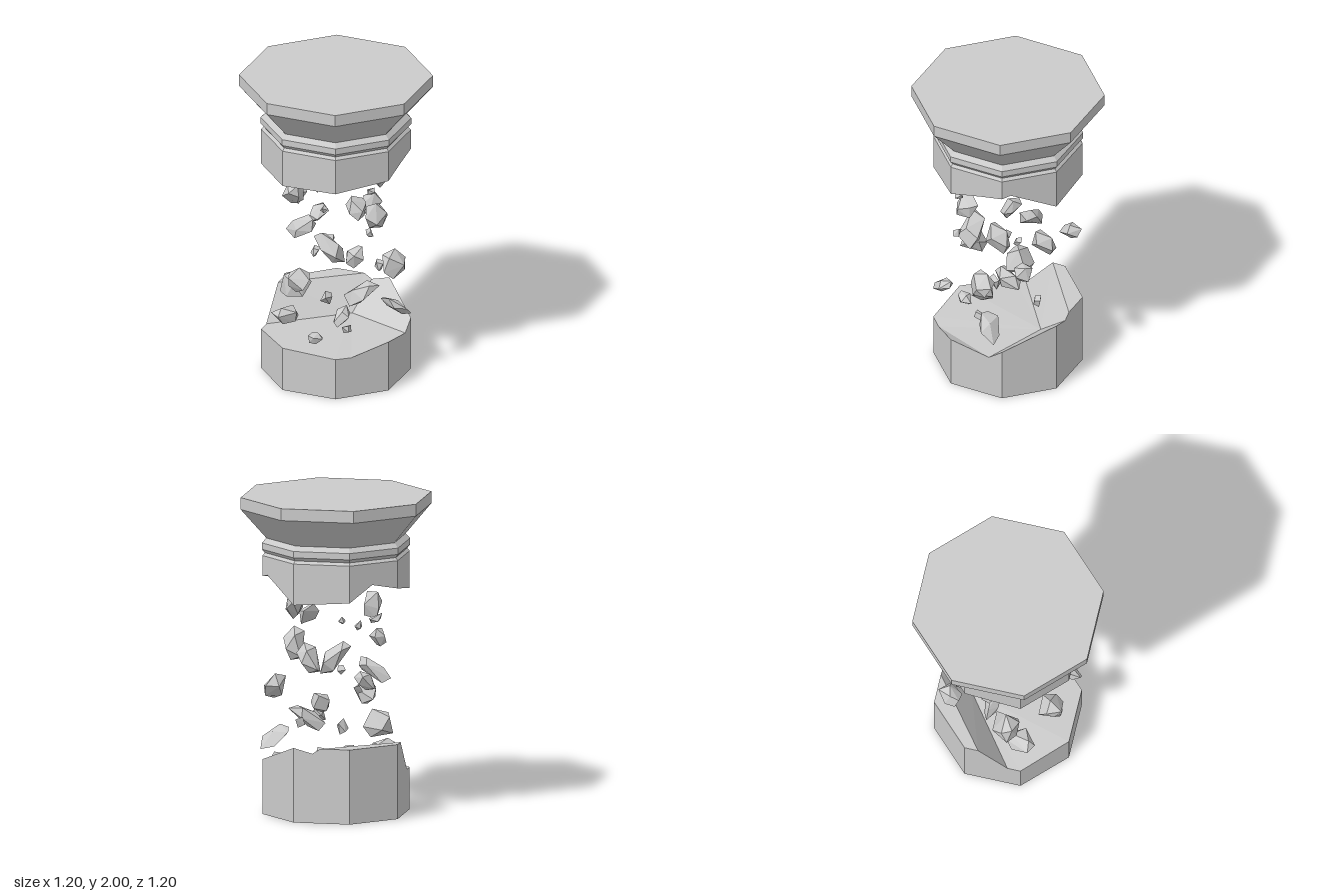
import * as THREE from 'three';
import { ConvexGeometry } from 'three/addons/geometries/ConvexGeometry.js';

// Double-sided because the stumps are open shells
const mat = new THREE.MeshStandardMaterial({ color: 0xcccccc, flatShading: true, side: THREE.DoubleSide });
const SHAFT_R = 0.465;

// Point on the octagonal shaft wall at an angle (degrees from +z towards +x)
function onShaft(deg, y) {
  const a = THREE.MathUtils.degToRad(deg);
  const off = THREE.MathUtils.degToRad((deg % 45) - 22.5);
  const r = SHAFT_R * Math.cos(Math.PI / 8) / Math.cos(off);
  return [r * Math.sin(a), y, r * Math.cos(a)];
}

// Shaft stump: walls between a flat ring and a jagged rim, plus the break faces.
// The inner point of the break follows the rim points in the index order.
function brokenShaft(rim, inner, level, faces, facesUp) {
  const jag = rim.map(([d, y]) => onShaft(d, y));
  const flat = rim.map(([d]) => onShaft(d, level));
  const corners = [...jag, inner];
  const pos = [];
  const tri = (a, b, c) => pos.push(...a, ...b, ...c);
  const [low, high] = facesUp ? [flat, jag] : [jag, flat];
  rim.forEach((_, i) => {
    const j = (i + 1) % rim.length;
    tri(low[i], low[j], high[j]);
    tri(low[i], high[j], high[i]);
  });
  for (const f of faces) {
    for (let k = 1; k < f.length - 1; k++) {
      const [a, b, c] = [corners[f[0]], corners[f[k]], corners[f[k + 1]]];
      if (facesUp) tri(a, b, c); else tri(a, c, b);
    }
  }
  const g = new THREE.BufferGeometry();
  g.setAttribute('position', new THREE.Float32BufferAttribute(pos, 3));
  g.computeVertexNormals();
  return g;
}

// Faceted rock, leaning along x and z, fitted exactly into a box of the given size
function rockGeometry(size, leanX, leanZ, seed) {
  let s = Math.round(seed) * 7919 + 17;
  const rnd = () => (s = (s * 16807) % 2147483647) / 2147483647;
  for (let i = 0; i < 5; i++) rnd();
  const n = Math.min(...size) < 0.08 ? 7 : 10;
  const turn = rnd() * 6.28;
  const tilt = new THREE.Euler(rnd() * 6, rnd() * 6, rnd() * 6);
  const pts = [];
  for (let i = 0; i < n; i++) {
    const y = 1 - (2 * i + 1) / n;
    const a = i * 2.4 + turn + (rnd() - 0.5) * 0.9;
    const r = Math.sqrt(1 - y * y);
    const p = new THREE.Vector3(r * Math.cos(a), y, r * Math.sin(a)).multiplyScalar(0.85 + 0.3 * rnd());
    p.applyEuler(tilt);
    p.x += leanX * p.y;
    p.z += leanZ * p.y;
    pts.push(p);
  }
  const box = new THREE.Box3().setFromPoints(pts);
  const c = box.getCenter(new THREE.Vector3());
  const scale = new THREE.Vector3(...size).divide(box.getSize(new THREE.Vector3()));
  pts.forEach((p) => p.sub(c).multiply(scale));
  return new ConvexGeometry(pts);
}

export function createModel() {
  const group = new THREE.Group();
  const add = (name, geometry, parent = group) => {
    const m = new THREE.Mesh(geometry, mat);
    m.name = name;
    parent.add(m);
    return m;
  };

  // Lower stump, open underneath: ledge, steep step, raised side, front lip and floor
  const lowerRim = [
    [0, 0.33], [34, 0.28], [45, 0.345], [90, 0.47], [104.7, 0.438], [111.3, 0.47], [135, 0.47],
    [180, 0.47], [190.5, 0.47], [215, 0.265], [225, 0.265], [270, 0.285], [315, 0.27], [328, 0.265],
  ];
  add('lowerStump', brokenShaft(lowerRim, [0.22, 0.28, -0.08], 0,
    [[5, 6, 7, 8], [14, 4, 5, 8, 9], [14, 1, 2, 3, 4], [13, 0, 1], [14, 9, 10, 11, 12, 13, 1]], true));

  // Upper stump: three break planes meeting at one inner point
  const upperRim = [
    [0, 1.43], [27.5, 1.475], [45, 1.5], [52, 1.515], [90, 1.37], [135, 1.395],
    [156, 1.495], [180, 1.455], [225, 1.395], [270, 1.393], [315, 1.4],
  ];
  add('upperStump', brokenShaft(upperRim, [0.265, 1.53, 0.02], 1.63,
    [[11, 3, 4, 5, 6], [11, 6, 7, 8, 9], [11, 9, 10, 0, 1, 2, 3]], false));

  // Capital with its neck ring
  const profile = [
    [SHAFT_R, 1.63], [0.45, 1.648], [0.468, 1.67], [0.468, 1.71],
    [0.44, 1.74], [0.602, 1.925], [0.602, 2], [0, 2],
  ].map(([r, y]) => new THREE.Vector2(r, y));
  add('capital', new THREE.LatheGeometry(profile, 8));

  // Floating rubble: centre x, y, z, then width, height, depth, then lean in x and z
  const rubble = new THREE.Group();
  rubble.name = 'rubble';
  group.add(rubble);
  const large = [
    [-0.31, 1.265, -0.05, 0.17, 0.16, 0.12, -0.5, 0.5], [0.22, 1.305, 0.16, 0.13, 0.16, 0.13, 0.4, -0.3],
    [-0.08, 1.21, 0.27, 0.16, 0.13, 0.12, 0, -0.5], [-0.05, 1.125, -0.29, 0.12, 0.12, 0.1, 0.3, 0],
    [0.15, 1.065, 0.21, 0.18, 0.2, 0.14, -0.2, 0.3], [0.32, 1.02, -0.02, 0.17, 0.18, 0.16, 0, 0.6],
    [-0.18, 0.93, 0.14, 0.16, 0.2, 0.17, -0.4, -0.6], [-0.05, 0.91, -0.25, 0.11, 0.16, 0.21, 0.5, 0.7],
    [0.19, 0.89, -0.35, 0.14, 0.12, 0.12, 0.5, 0.3], [0.16, 0.78, 0.35, 0.19, 0.17, 0.13, 0, 0],
    [-0.33, 0.71, 0, 0.16, 0.16, 0.16, 0, 0], [0.16, 0.71, 0.01, 0.12, 0.13, 0.13, 0, 0],
    [-0.13, 0.565, -0.21, 0.18, 0.17, 0.17, 0, 0], [0.01, 0.57, 0.2, 0.16, 0.15, 0.2, 0.7, 0.6],
    [-0.26, 0.54, 0.31, 0.14, 0.1, 0.1, 0.7, 0], [0.21, 0.47, 0.32, 0.17, 0.14, 0.17, -1.3, -0.5],
    [-0.23, 0.38, -0.19, 0.2, 0.12, 0.14, -0.5, 0],
  ];
  const small = [
    [-0.05, 1.34, 0.36, 0.06, 0.04, 0.06, 0, 0], [0.1, 1.275, -0.37, 0.06, 0.07, 0.09, -0.5, -0.7],
    [-0.18, 1.17, 0.08, 0.05, 0.05, 0.04, 0, 0], [-0.01, 1.19, -0.16, 0.04, 0.07, 0.05, 0, -0.5],
    [-0.06, 1.06, 0.36, 0.04, 0.06, 0.07, 0, 0], [-0.03, 0.89, -0.02, 0.06, 0.06, 0.07, 0, 0],
    [-0.05, 0.775, -0.13, 0.07, 0.06, 0.05, 0.4, 0], [0.34, 0.61, 0.04, 0.06, 0.07, 0.06, 0, 0],
    [-0.1, 0.52, 0.02, 0.08, 0.1, 0.06, 0, 0.4], [-0.28, 0.325, 0.11, 0.11, 0.08, 0.09, 0, 0],
    [-0.07, 0.345, 0.17, 0.07, 0.06, 0.06, 0, 0],
  ];
  const place = (name) => ([x, y, z, w, h, d, leanX, leanZ], i) =>
    add(name, rockGeometry([w, h, d], leanX, leanZ, i + w * 100), rubble).position.set(x, y, z);
  large.forEach(place('rock'));
  small.forEach(place('pebble'));

  return group;
}
